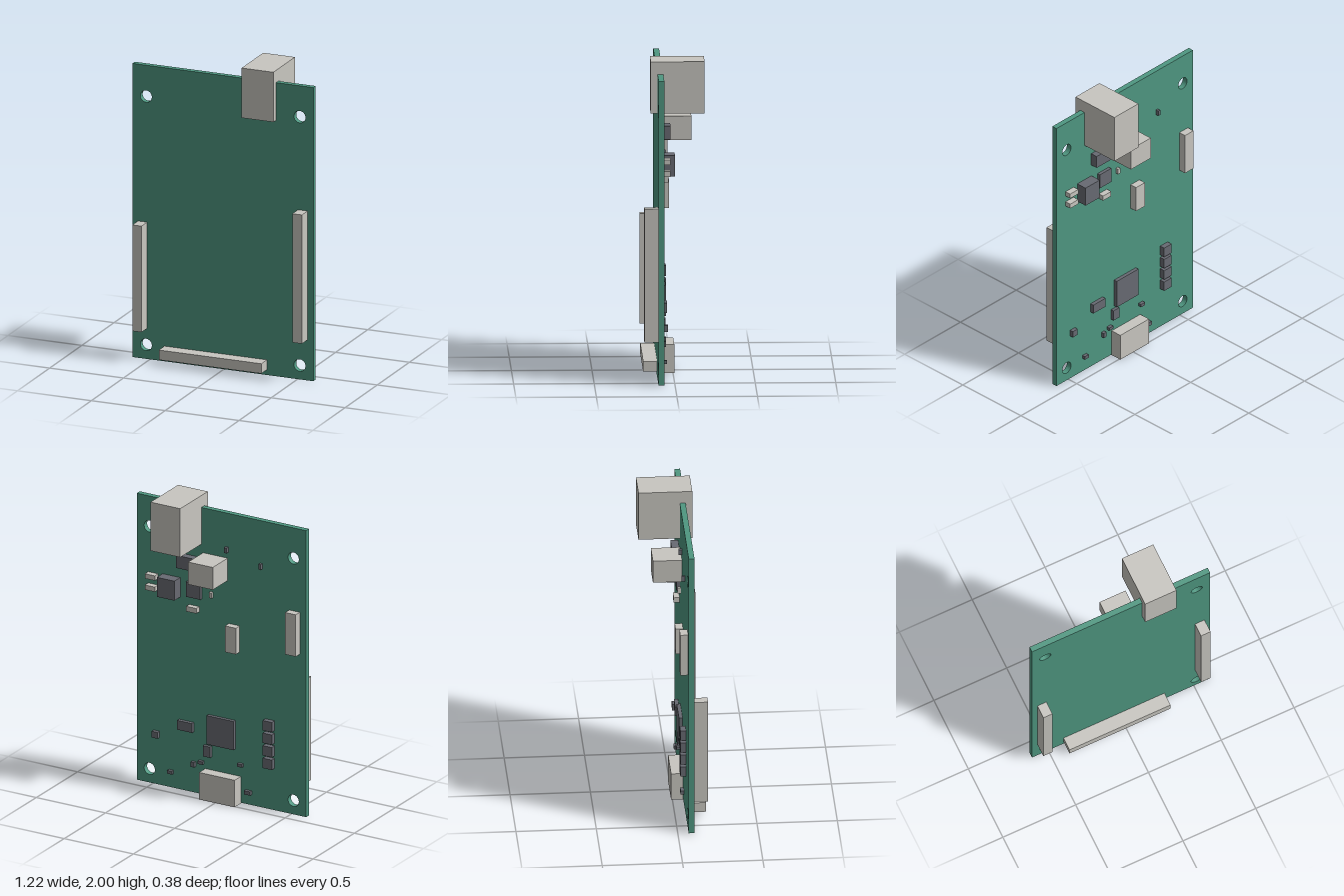
import * as THREE from 'three';

const mat = (name, color) => {
  const m = new THREE.MeshStandardMaterial({ color });
  m.name = name;
  return m;
};

export function createModel() {
  const green = mat('board green', 0x4f9781);
  const light = mat('connector grey', 0xc8c6c0);
  const dark = mat('chip grey', 0x686a72);
  const model = new THREE.Group();
  model.name = 'circuitBoard';
  const BACK = 0.067, FRONT = 0.103;

  // Box given by its extents on each axis
  const block = (name, material, x0, x1, y0, y1, z0, z1) => {
    const mesh = new THREE.Mesh(new THREE.BoxGeometry(x1 - x0, y1 - y0, z1 - z0), material);
    mesh.position.set((x0 + x1) / 2, (y0 + y1) / 2, (z0 + z1) / 2);
    mesh.name = name;
    model.add(mesh);
  };
  // Component mounted on the rear face, reaching back to z
  const rear = (name, material, x0, x1, y0, y1, z) =>
    block(name, material, x0, x1, y0, y1, z, BACK);

  // Board with four mounting holes
  const outline = new THREE.Shape([
    new THREE.Vector2(-0.612, 0.005), new THREE.Vector2(0.612, 0.005),
    new THREE.Vector2(0.612, 1.92), new THREE.Vector2(-0.612, 1.92),
  ]);
  for (const x of [-0.52, 0.52]) {
    for (const y of [0.097, 1.717]) {
      outline.holes.push(new THREE.Path().absarc(x, y, 0.039, 0, Math.PI * 2, true));
    }
  }
  const board = new THREE.Mesh(new THREE.ExtrudeGeometry(outline, {
    depth: FRONT - BACK, bevelEnabled: false, curveSegments: 24,
  }), green);
  board.position.z = BACK;
  board.name = 'board';
  model.add(board);

  // Pin headers on the front
  block('rightHeader', light, -0.575, -0.513, 0.205, 0.897, FRONT, 0.19);
  block('leftHeader', light, 0.508, 0.573, 0.27, 1.11, FRONT, 0.19);
  block('bottomHeader', light, -0.396, 0.298, 0.04, 0.104, FRONT, 0.19);

  // Large connectors
  block('networkSocket', light, 0.145, 0.36, 1.675, 2.0, -0.19, 0.145);
  block('dataSocket', light, -0.14, 0.117, 0, 0.18, -0.008, 0.083);
  rear('powerSocket', light, -0.045, 0.133, 1.47, 1.62, -0.114);
  rear('middleSocket', light, -0.132, -0.054, 1.01, 1.185, 0.02);
  rear('sideSocket', light, -0.566, -0.49, 1.085, 1.365, 0.018);

  // Small pale components
  for (const y of [1.305, 1.38]) rear('capacitor', light, 0.458, 0.53, y, y + 0.032, 0.027);
  rear('capacitor', light, 0.16, 0.233, 1.22, 1.254, 0.03);
  rear('smallCapacitor', light, 0.06, 0.08, 1.335, 1.372, 0.047);

  // Chips
  rear('processor', dark, -0.1, 0.094, 0.355, 0.547, 0.044);
  rear('inductor', dark, 0.298, 0.425, 1.29, 1.42, -0.004);
  rear('upperRegulator', dark, 0.176, 0.3, 1.5, 1.585, 0.02);
  rear('lowerRegulator', dark, 0.142, 0.245, 1.31, 1.41, 0.046);
  rear('memoryChip', dark, 0.198, 0.306, 0.41, 0.472, 0.042);
  rear('supportChip', dark, 0.07, 0.122, 0.268, 0.34, 0.046);
  rear('oscillator', dark, 0.447, 0.49, 0.32, 0.362, 0.042);

  // Column of four relays
  for (let i = 0; i < 4; i++) {
    const y = 0.285 + i * 0.084;
    rear('relay', dark, -0.385, -0.318, y, y + 0.066, 0.032);
  }

  // Tiny resistors: x0, x1, y0, y1
  for (const r of [
    [0.345, 0.38, 0.1, 0.122], [0.185, 0.21, 0.18, 0.213], [0.125, 0.16, 0.21, 0.23],
    [-0.16, -0.125, 0.25, 0.27], [-0.22, -0.175, 0.075, 0.1],
    [-0.05, -0.03, 1.66, 1.695], [-0.296, -0.279, 1.6, 1.635],
  ]) rear('resistor', dark, ...r, 0.045);

  return model;
}
